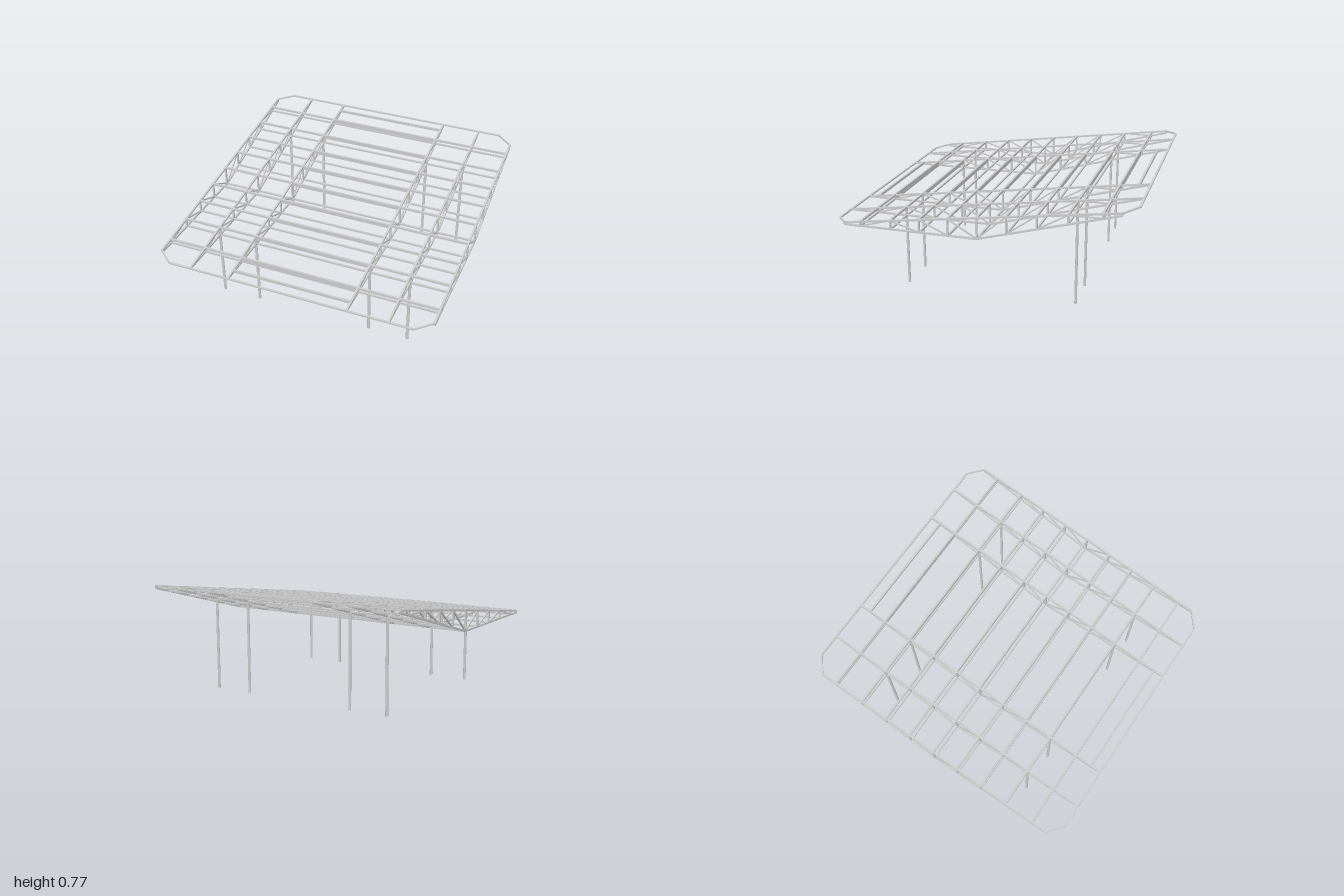
import * as THREE from 'three';

export function createModel() {
  const model = new THREE.Group();
  const material = new THREE.MeshStandardMaterial({ color: 0xcccccc });
  const T = 0.014;
  const nodes = [-0.79, -0.58, -0.385, -0.192, 0, 0.192, 0.385, 0.582, 0.792];
  const END = 0.99, SIDE = 0.955, CUT = 0.905;

  // centre-line heights of the upper and lower chords at depth z
  const top = z => 0.625 - 0.14 * z;
  const low = z => (z >= 0 ? 0.487 : 0.487 - 0.277 * z);
  const V = (x, y, z) => new THREE.Vector3(x, y, z);

  // square bar from a to b, kept upright
  function bar(parent, name, a, b, w = T, h = T) {
    const dir = b.clone().sub(a);
    const mesh = new THREE.Mesh(new THREE.BoxGeometry(w, h, dir.length()), material);
    mesh.name = name;
    const z = dir.normalize();
    const ref = Math.abs(z.y) > 0.99 ? V(0, 0, 1) : V(0, 1, 0);
    const x = ref.clone().cross(z).normalize();
    const y = z.clone().cross(x);
    mesh.quaternion.setFromRotationMatrix(new THREE.Matrix4().makeBasis(x, y, z));
    mesh.position.copy(a).add(b).multiplyScalar(0.5);
    parent.add(mesh);
  }

  // trusses running front to back
  function truss(x, end) {
    const g = new THREE.Group();
    g.name = 'truss';
    bar(g, 'upperChord', V(x, top(end), end), V(x, top(-end), -end), T, 0.012);
    for (const s of [-1, 1]) {
      bar(g, 'lowerChord', V(x, low(0), 0), V(x, low(s * end), s * end), T, 0.012);
    }
    for (const z of nodes) {
      bar(g, 'post', V(x, low(z), z), V(x, top(z), z), 0.012, 0.012);
    }
    // diagonals rise outwards, except in the last bay where they rise inwards
    for (const s of [-1, 1]) {
      for (const [i, j] of [[4, 5], [5, 6], [6, 7], [8, 7]]) {
        const a = s * nodes[i], b = s * nodes[j];
        bar(g, 'diagonal', V(x, low(a), a), V(x, top(b), b), 0.009, 0.009);
      }
    }
    model.add(g);
  }
  for (const s of [-1, 1]) {
    truss(s * 0.413, END);
    truss(s * 0.69, END);
    truss(s * SIDE, CUT);
  }

  // cross members on both chords, deeper in the middle bay
  for (const z of nodes) {
    bar(model, 'upperPurlin', V(-SIDE, top(z) + 0.001, z), V(SIDE, top(z) + 0.001, z));
    bar(model, 'lowerPurlin', V(-SIDE, low(z), z), V(SIDE, low(z), z), 0.012, 0.012);
    bar(model, 'middlePurlin', V(-0.413, top(z) - 0.006, z), V(0.413, top(z) - 0.006, z), T, 0.028);
  }
  for (const s of [-1, 1]) {
    const z = s * 0.914;
    bar(model, 'endPurlin', V(-0.413, top(z), z), V(0.413, top(z), z), T, 0.018);

    // front and back edges with cut corners
    const e = s * END, c = s * CUT;
    bar(model, 'edgeBeam', V(-0.85, top(e), e), V(0.85, top(e), e), 0.014, 0.01);
    for (const m of [-1, 1]) {
      bar(model, 'cornerBar', V(m * 0.85, top(e), e), V(m * SIDE, top(c), c), 0.01, 0.01);
      bar(model, 'cornerPost', V(m * SIDE, low(c), c), V(m * SIDE, top(c), c), 0.01, 0.01);
    }
  }

  // legs
  for (const x of [-0.692, -0.415, 0.413, 0.69]) {
    for (const z of [-0.578, 0.584]) {
      const h = top(z);
      const leg = new THREE.Mesh(new THREE.CylinderGeometry(0.01, 0.01, h, 16), material);
      leg.name = 'leg';
      leg.scale.z = 0.85;
      leg.position.set(x, h / 2, z);
      model.add(leg);
    }
  }
  return model;
}
